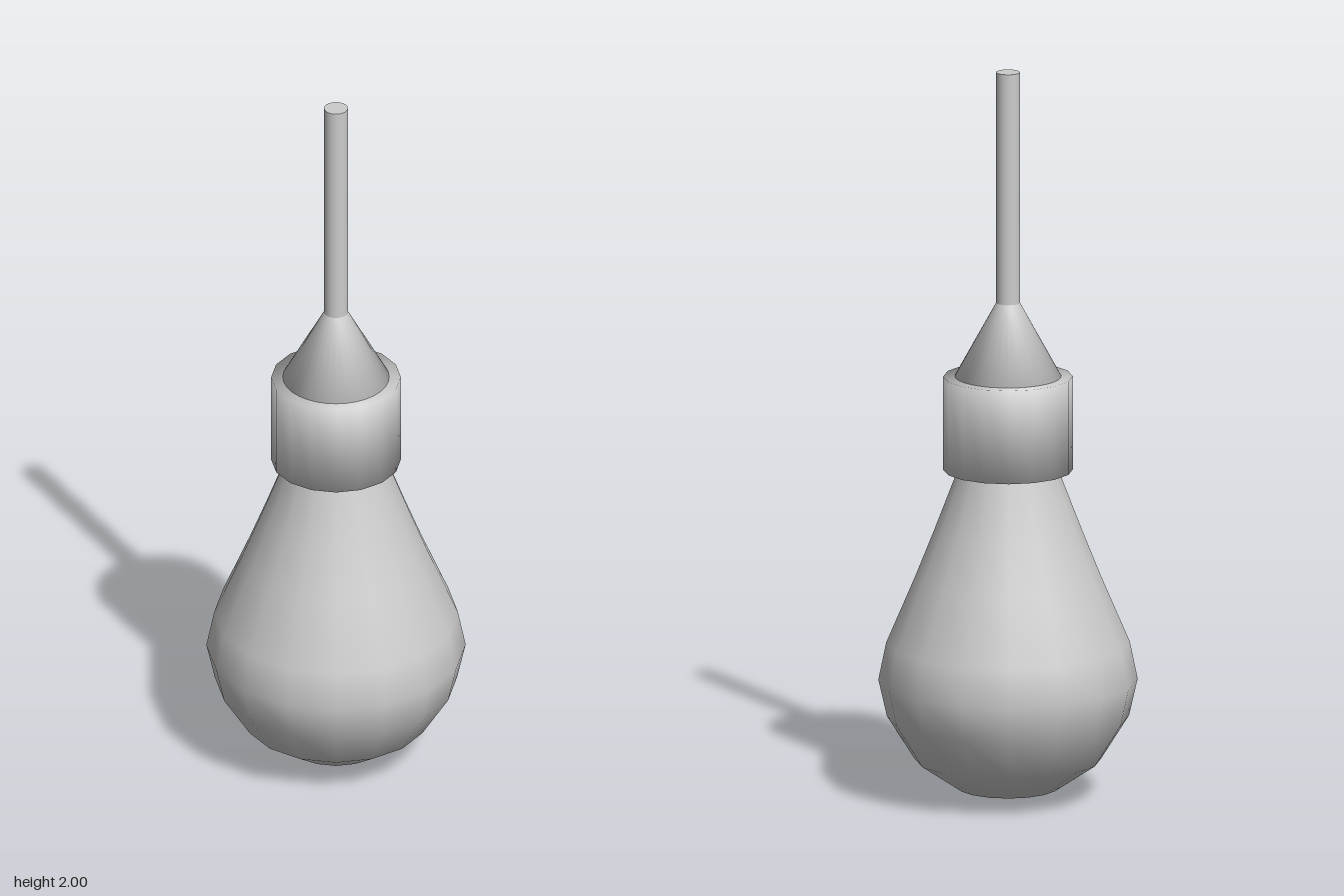
import * as THREE from 'three';

const material = new THREE.MeshStandardMaterial({ color: 0xcccccc });

// Smooth surface of revolution; profile runs from bottom to top as [radius, y]
function turned(name, profile, sides) {
  const points = profile.map(([r, y]) => new THREE.Vector2(r, y));
  const mesh = new THREE.Mesh(new THREE.LatheGeometry(points, sides), material);
  mesh.name = name;
  return mesh;
}

export function createModel() {
  const model = new THREE.Group();
  model.name = 'hangingLightBulb';

  // Pear-shaped glass, its neck tucked into the socket
  model.add(turned('glassBulb', [
    [0, 0], [0.135, 0.03], [0.25, 0.108], [0.325, 0.227], [0.348, 0.328],
    [0.327, 0.43], [0.25, 0.61], [0.2, 0.735], [0.135, 0.905], [0.125, 0.96],
  ], 16));

  // Socket with closed ends and soft shading over its rims
  model.add(turned('socket', [
    [0, 0.905], [0.174, 0.905], [0.174, 1.162], [0, 1.162],
  ], 16));

  // Cone that gathers the socket up to the cord
  model.add(turned('cordCone', [
    [0, 1.163], [0.143, 1.163], [0.032, 1.365],
  ], 32));

  // Hanging cord with a flat cut end
  const cord = new THREE.Mesh(new THREE.CylinderGeometry(0.032, 0.032, 0.64, 32), material);
  cord.name = 'cord';
  cord.position.y = 1.68;
  model.add(cord);

  return model;
}
